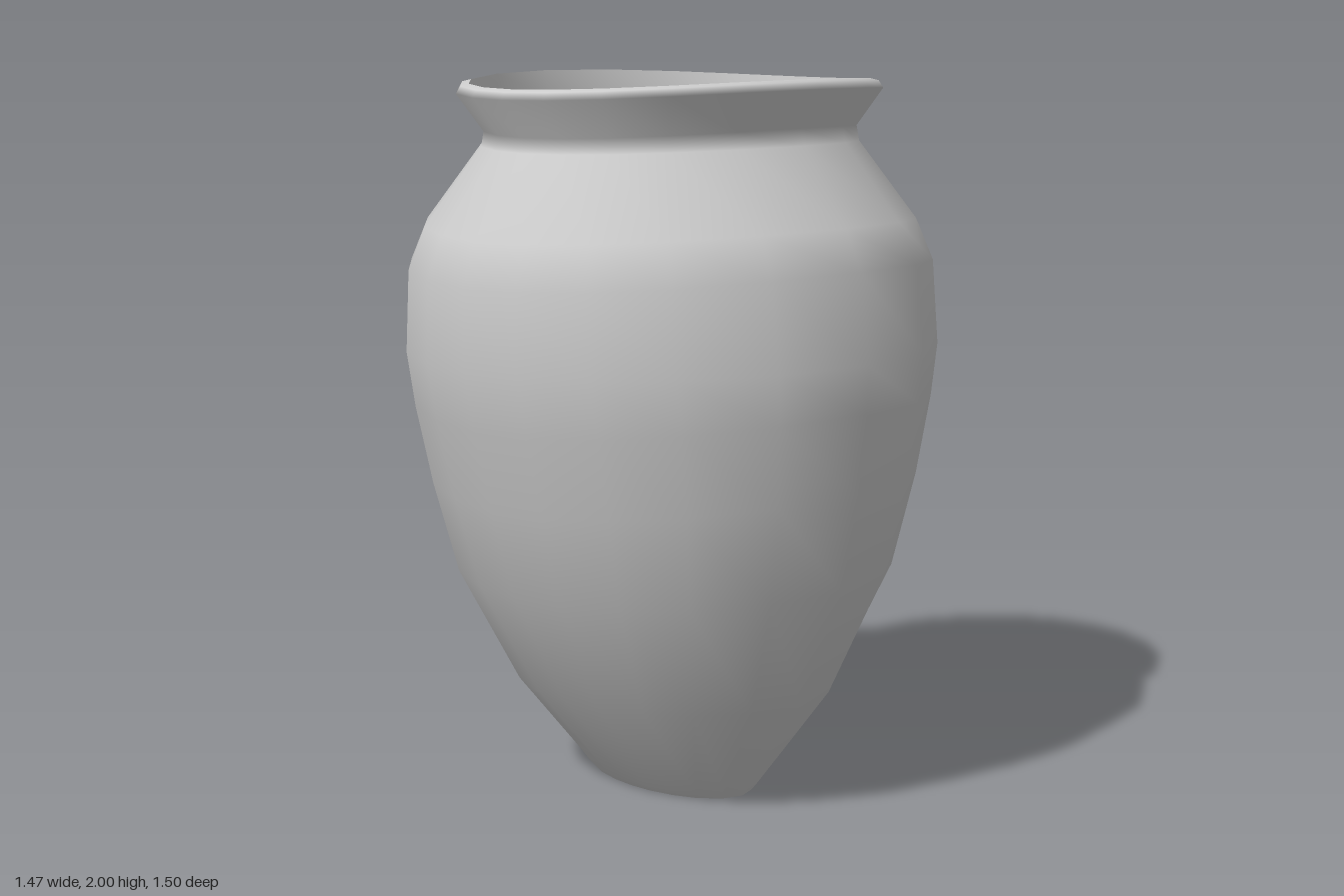
import * as THREE from 'three';

// Uneven angular steps of one quadrant, in degrees, mirrored all round (20 sides)
const quadrant = [0, 14.5, 30.5, 47.5, 68];
const angles = [
  ...quadrant,
  90, ...quadrant.slice(1).reverse().map(a => 180 - a),
  ...quadrant.map(a => a + 180),
  270, ...quadrant.slice(1).reverse().map(a => 360 - a),
];
const N = angles.length;

// Rings: half width in x, half depth in z, height at the x ends, height at the z ends, twist
const T = -2.2;
const outer = [
  [0.285, 0.16, 0, 0, 0],
  [0.30, 0.18, 0.02, 0.02, 0],
  [0.505, 0.41, 0.31, 0.30, 0],
  [0.65, 0.59, 0.65, 0.62, 0],
  [0.705, 0.665, 0.92, 0.87, 0],
  [0.73, 0.72, 1.14, 1.09, 0],
  [0.735, 0.75, 1.27, 1.25, 0],
  [0.705, 0.75, 1.51, 1.47, 0],
  [0.65, 0.71, 1.62, 1.59, 0],
  [0.48, 0.56, 1.825, 1.81, T],
  [0.47, 0.555, 1.87, 1.85, T],
  [0.54, 0.63, 1.975, 1.95, T],
  [0.525, 0.62, 1.995, 1.97, T],
  [0.50, 0.597, 2.0, 1.977, T],
];
const lip = outer[outer.length - 1];
const fill = [0.487, 0.583, 1.925, 1.905, T];

// Points of one oval ring whose height varies gently around it
function ringPoints([rx, rz, yx, yz, twist]) {
  return angles.flatMap(deg => {
    const a = THREE.MathUtils.degToRad(deg + twist);
    const s = Math.sin(a), c = Math.cos(a);
    return [rx * s, yx * s * s + yz * c * c, -rz * c];
  });
}

function makeMesh(name, positions, index, material) {
  const g = new THREE.BufferGeometry();
  g.setAttribute('position', new THREE.Float32BufferAttribute(positions, 3));
  g.setIndex(index);
  g.computeVertexNormals();
  const mesh = new THREE.Mesh(g, material);
  mesh.name = name;
  return mesh;
}

// Smooth skin through a stack of rings
function loft(name, rings, material) {
  const index = [];
  for (let i = 0; i < rings.length - 1; i++) {
    for (let j = 0; j < N; j++) {
      const a = i * N + j, b = i * N + (j + 1) % N;
      index.push(a, a + N, b + N, a, b + N, b);
    }
  }
  return makeMesh(name, rings.flatMap(ringPoints), index, material);
}

// Fan that closes a ring, facing up or down
function disc(name, ring, up, material) {
  const index = [];
  for (let j = 0; j < N; j++) {
    const k = (j + 1) % N;
    index.push(N, ...(up ? [k, j] : [j, k]));
  }
  const centre = [0, (ring[2] + ring[3]) / 2, 0];
  return makeMesh(name, [...ringPoints(ring), ...centre], index, material);
}

export function createModel() {
  const material = new THREE.MeshStandardMaterial({ color: 0xcccccc });
  const group = new THREE.Group();
  group.name = 'jar';
  group.add(
    loft('bodyAndRim', outer, material),
    loft('innerRim', [lip, fill], material),
    disc('mouthFill', fill, true, material),
    disc('base', outer[0], false, material),
  );
  return group;
}
